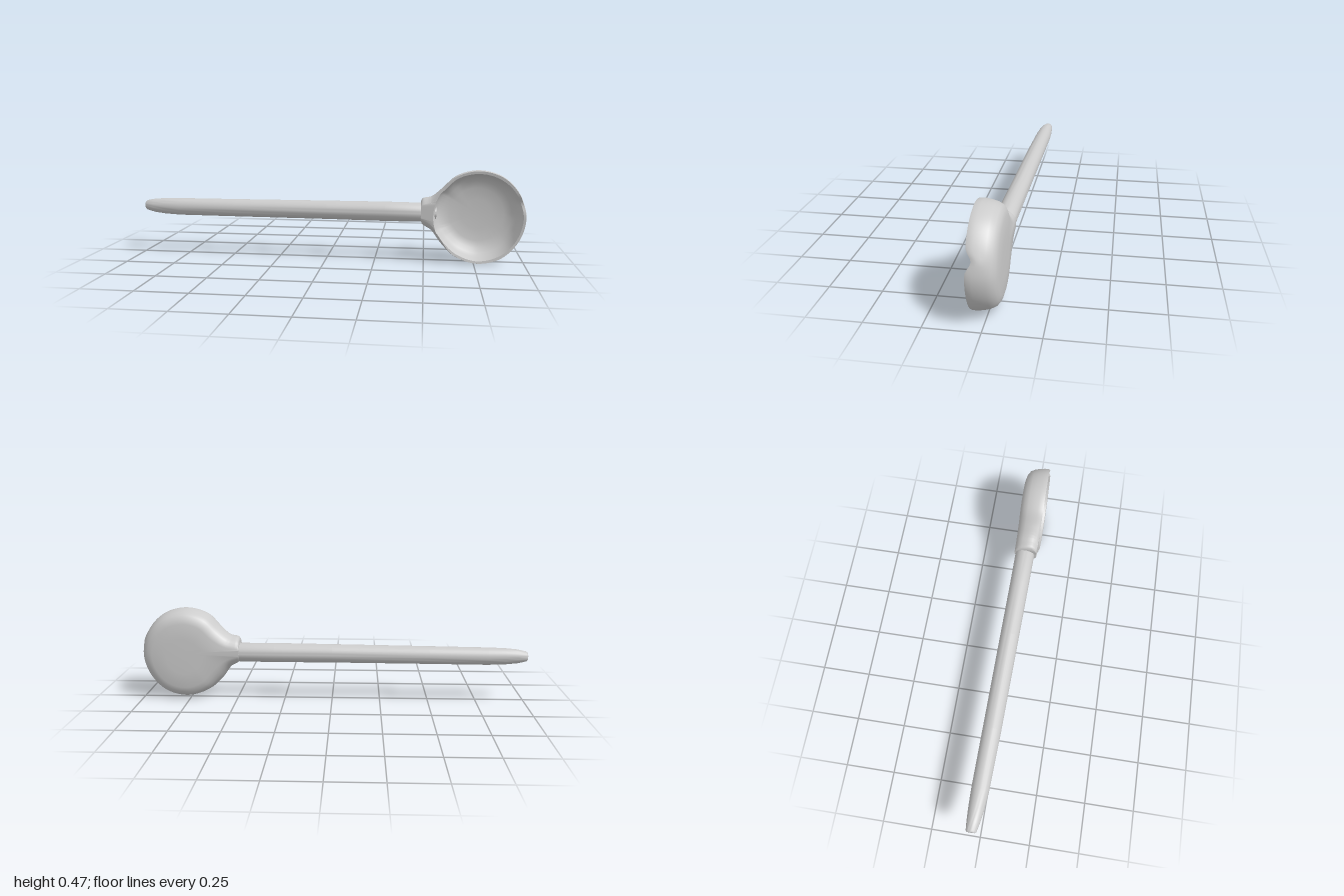
import * as THREE from 'three';
import { toCreasedNormals } from 'three/addons/utils/BufferGeometryUtils.js';

// Skin a list of closed rings (same number of points each) into one surface
function loft(rings, crease) {
  const n = rings[0].length, index = [];
  for (let i = 0; i < rings.length - 1; i++) {
    for (let j = 0; j < n; j++) {
      const k = (j + 1) % n;
      const a = i * n + j, b = i * n + k, c = a + n, d = b + n;
      index.push(a, b, d, a, d, c);
    }
  }
  const geo = new THREE.BufferGeometry().setFromPoints(rings.flat());
  geo.setIndex(index);
  return toCreasedNormals(geo, crease);
}

const CX = 0.765, CY = 0.238;

// Rim outline, counter-clockwise, with the neck on the -x side
function rimOutline() {
  const pts = [
    [1, 0.24], [0.968, 0.355], [0.885, 0.443], [0.765, 0.475], [0.655, 0.446],
    [0.585, 0.382], [0.535, 0.34], [0.487, 0.324], [0.484, 0.262], [0.487, 0.2],
    [0.535, 0.166], [0.585, 0.1], [0.655, 0.038], [0.765, 0.003], [0.885, 0.033], [0.968, 0.122],
  ].map(([x, y]) => new THREE.Vector3(x, y, 0));
  return new THREE.CatmullRomCurve3(pts, true, 'centripetal').getPoints(128).slice(0, -1);
}

// Pouring dip in the rim, fading out with depth
function dip(x, y, z) {
  const a = Math.atan2(y - CY, x - CX);
  const fade = THREE.MathUtils.smoothstep(z, -0.02, 0.06);
  return 0.026 * fade * Math.exp(-(((a - 0.33) / 0.14) ** 2));
}

function bowlGeometry() {
  const outline = rimOutline();
  const mix = THREE.MathUtils.lerp;

  // Outside, back to rim: [bowl scale, neck width, bowl z, neck z]
  const outer = [
    [0, 0, -0.063, -0.063], [0.4, 0.15, -0.063, -0.062], [0.72, 0.3, -0.06, -0.06],
    [0.82, 0.5, -0.053, -0.053], [0.9, 0.68, -0.04, -0.042], [0.95, 0.84, -0.018, -0.025],
    [0.98, 0.95, 0.008, 0], [1, 1, 0.035, 0.03], [1, 0.88, 0.055, 0.046], [0.99, 0.6, 0.064, 0.057],
  ].map(([s, n, zb, zn]) => outline.map((p) => {
    const neck = s === 0 ? 0 : 1 - THREE.MathUtils.smoothstep(p.x, 0.49, 0.64);
    const xNeck = s < 0.6 ? mix(CX, p.x, s) : p.x;
    const x = mix(CX + (p.x - CX) * s, xNeck, neck);
    const y = mix(CY + (p.y - CY) * s, 0.255 + (p.y - 0.255) * n, neck);
    const z = mix(zb, zn, neck);
    return new THREE.Vector3(x, y, z - dip(x, y, z));
  }));

  // Hollow, rim to floor: [scale, z]
  const inner = [
    [1, 0.062], [0.98, 0.04], [0.95, 0.012], [0.89, -0.014], [0.79, -0.033],
    [0.62, -0.044], [0.35, -0.049], [0, -0.05],
  ].map(([s, z]) => outline.map((p) => {
    const dx = p.x - CX, dy = p.y - CY, r = Math.hypot(dx, dy);
    const k = s * Math.min(r - 0.014, 0.221) / r;
    const x = CX + dx * k, y = CY + dy * k;
    return new THREE.Vector3(x, y, z - dip(x, y, z));
  }));
  return loft([...outer, ...inner], 0.9);
}

function handleGeometry() {
  // [x, centre y, centre z, half height, half depth], tip to neck
  const stations = [
    [-1, 0.25, -0.035, 0, 0], [-1, 0.25, -0.035, 0.021, 0.021], [-0.994, 0.25, -0.035, 0.026, 0.026],
    [-0.95, 0.249, -0.032, 0.036, 0.033], [-0.89, 0.248, -0.029, 0.042, 0.039],
    [-0.8, 0.247, -0.026, 0.045, 0.044], [-0.5, 0.248, -0.019, 0.046, 0.047],
    [0, 0.25, -0.011, 0.048, 0.049], [0.3, 0.25, -0.006, 0.05, 0.05],
    [0.48, 0.25, -0.004, 0.049, 0.051], [0.56, 0.25, -0.008, 0.035, 0.035], [0.56, 0.25, -0.008, 0, 0],
  ];
  const sides = 32;
  return loft(stations.map(([x, y, z, h, d]) => Array.from({ length: sides }, (_, i) => {
    const a = (i / sides) * Math.PI * 2;
    return new THREE.Vector3(x, y + h * Math.cos(a), z + d * Math.sin(a));
  })), 0.9);
}

export function createModel() {
  const group = new THREE.Group();
  group.name = 'ladle';
  const material = new THREE.MeshStandardMaterial({ color: 0xcccccc, side: THREE.DoubleSide });
  const parts = { bowl: bowlGeometry(), handle: handleGeometry() };
  for (const [name, geometry] of Object.entries(parts)) {
    const mesh = new THREE.Mesh(geometry, material);
    mesh.name = name;
    group.add(mesh);
  }
  return group;
}
